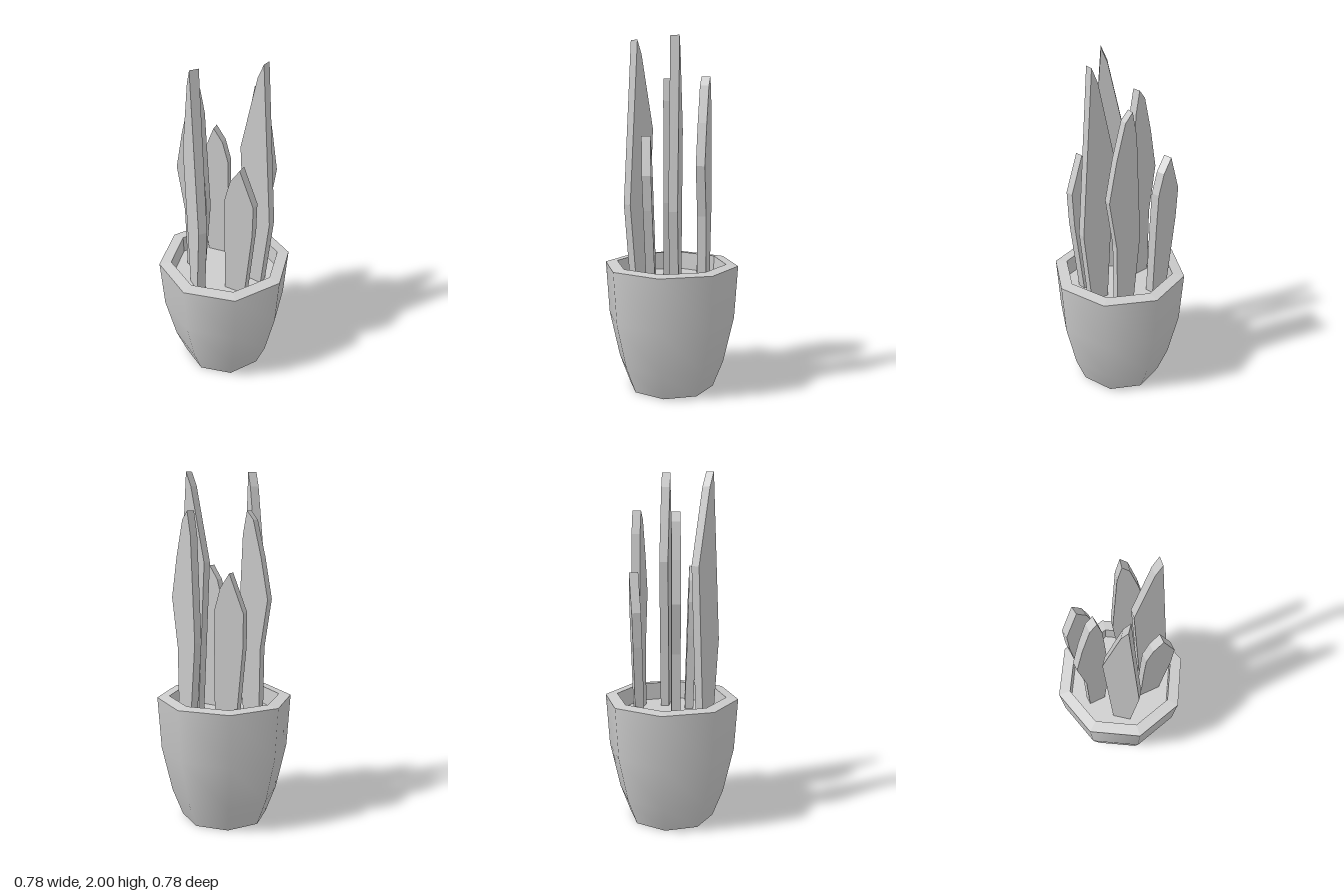
import * as THREE from 'three';

const SOIL_Y = 0.63;
const LEAF_BOTTOM = 0.6;
const THICKNESS = 0.05;

// Leaf outlines as [across, height], running from the left foot over the tip to the right foot
const OUTLINES = {
  tall: [[-0.05, 0.6], [-0.1, 1.5], [-0.005, 1.92], [0.03, 2], [0.1, 1.07], [0.052, 0.6]],
  medium: [[-0.045, 0.6], [-0.05, 1.03], [-0.093, 1.31], [-0.05, 1.54], [0.0, 1.74],
    [0.04, 1.79], [0.065, 1.66], [0.093, 1.07], [0.052, 0.6]],
  short: [[-0.088, 0.6], [-0.085, 1.07], [-0.08, 1.27], [-0.045, 1.39], [0.01, 1.47],
    [0.09, 1.26], [0.085, 1.07], [0.035, 0.6]],
};

// name, outline, x, z, turn in degrees, lean
const LEAVES = [
  ['frontLeaf', 'tall', -0.05, 0.2, -30, 0],
  ['rightTallLeaf', 'tall', 0.182, -0.057, 1, 0],
  ['leftLeaf', 'medium', -0.18, 0.05, 9, 0],
  ['backLeaf', 'medium', 0.105, -0.202, 175, 0],
  ['frontShortLeaf', 'short', 0.175, 0.082, 8, 0.03],
  ['backShortLeaf', 'short', -0.182, -0.155, 195, 0.03],
];

export function createModel() {
  const group = new THREE.Group();
  const grey = new THREE.MeshStandardMaterial({ color: 0xcccccc });
  grey.name = 'grey';
  const greyFlat = grey.clone();
  greyFlat.name = 'grey faceted';
  greyFlat.flatShading = true;

  const add = (name, geometry, material) => {
    const mesh = new THREE.Mesh(geometry, material);
    mesh.name = name;
    group.add(mesh);
    return mesh;
  };
  const ring = (points) =>
    new THREE.LatheGeometry(points.map(([r, y]) => new THREE.Vector2(r, y)), 8);

  // Eight-sided pot: smooth wall with a sharp rim and base
  add('potWall', ring([[0.25, 0], [0.31, 0.155], [0.37, 0.42], [0.39, 0.725]]), grey);
  add('potRim', ring([[0.39, 0.725], [0.32, 0.733]]), greyFlat);
  add('potInside', ring([[0.32, 0.733], [0.316, SOIL_Y]]), greyFlat);
  add('potBase', ring([[0, 0.004], [0.25, 0]]), greyFlat);
  add('soil', ring([[0.32, SOIL_Y], [0, SOIL_Y]]), greyFlat);

  // Stiff upright leaves cut from slabs
  for (const [name, outline, x, z, turn, lean] of LEAVES) {
    const shape = new THREE.Shape(
      OUTLINES[outline].map(([u, y]) => new THREE.Vector2(u, y - LEAF_BOTTOM)));
    const geometry = new THREE.ExtrudeGeometry(shape, { depth: THICKNESS, bevelEnabled: false });
    geometry.translate(0, 0, -THICKNESS / 2);
    const leaf = add(name, geometry, greyFlat);
    leaf.position.set(x, LEAF_BOTTOM, z);
    leaf.rotation.set(lean, THREE.MathUtils.degToRad(turn), 0, 'YXZ');
  }
  return group;
}
